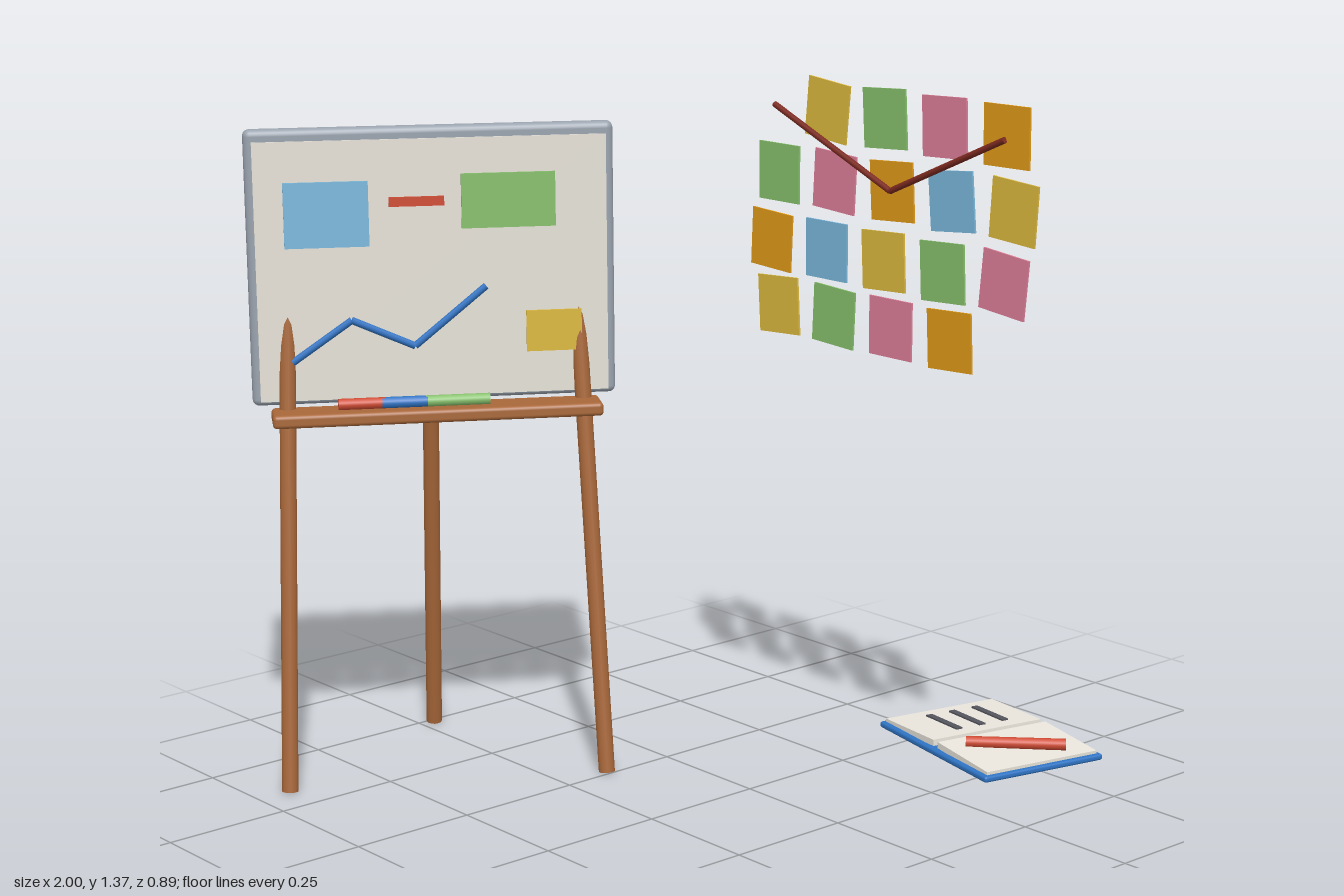
import * as THREE from 'three';
import { RoundedBoxGeometry } from 'three/addons/geometries/RoundedBoxGeometry.js';

const mat = (color) => new THREE.MeshStandardMaterial({ color });
const M = {
  wood: mat(0xa9683a), grey: mat(0x9aa3ae), panel: mat(0xe6e2d8), blue: mat(0x7ab8dc),
  green: mat(0x86c06c), yellow: mat(0xdcb93e), pink: mat(0xdf7f98), orange: mat(0xe09a18),
  red: mat(0xcf4a32), ink: mat(0x2f74c4), string: mat(0x7d2a20), text: mat(0x55565e), paper: mat(0xeae6dc),
};

function add(parent, name, geometry, material, x = 0, y = 0, z = 0) {
  const mesh = new THREE.Mesh(geometry, material);
  mesh.name = name;
  mesh.position.set(x, y, z);
  parent.add(mesh);
  return mesh;
}

const box = (parent, name, material, [w, h, d], [x, y, z]) =>
  add(parent, name, new THREE.BoxGeometry(w, h, d), material, x, y, z);

const rounded = (parent, name, material, [w, h, d], r, [x, y, z]) =>
  add(parent, name, new RoundedBoxGeometry(w, h, d, 3, r), material, x, y, z);

// Cylinder running between two points
function rod(parent, name, material, a, b, r, sides = 14) {
  const p = new THREE.Vector3(...a), q = new THREE.Vector3(...b);
  const dir = q.clone().sub(p);
  const mesh = add(parent, name, new THREE.CylinderGeometry(r, r, dir.length(), sides), material);
  mesh.position.copy(p).add(q).multiplyScalar(0.5);
  mesh.quaternion.setFromUnitVectors(new THREE.Vector3(0, 1, 0), dir.normalize());
  return mesh;
}

function polyline(parent, name, material, points, r) {
  for (let i = 0; i < points.length - 1; i++) rod(parent, name, material, points[i], points[i + 1], r, 8);
}

function createEasel() {
  const easel = new THREE.Group();
  easel.name = 'easel';

  // Legs: the front pair leans back through the board, the third props it
  for (const s of [-1, 1])
    rod(easel, 'frontLeg', M.wood, [s * 0.311, 0.002, 0.105], [s * 0.268, 1.22, -0.03], 0.016);
  rod(easel, 'backLeg', M.wood, [0.003, 0.004, -0.265], [0, 1.235, -0.034], 0.016);

  // Board
  rounded(easel, 'boardFrame', M.grey, [0.7, 0.53, 0.032], 0.013, [0, 1.015, 0]);
  box(easel, 'boardPanel', M.panel, [0.67, 0.498, 0.012], [0, 1.008, 0.013]);

  // Cards on the board
  const cards = [
    ['blue', -0.2, 1.117, 0.16, 0.125], ['red', -0.029, 1.138, 0.105, 0.018],
    ['green', 0.146, 1.136, 0.18, 0.105], ['yellow', 0.23, 0.88, 0.107, 0.08],
  ];
  for (const [c, x, y, w, h] of cards) box(easel, 'boardCard', M[c], [w, h, 0.006], [x, y, 0.021]);

  // Chart line
  polyline(easel, 'chartLine', M.ink, [
    [-0.272, 0.835, 0.022], [-0.158, 0.913, 0.022], [-0.0385, 0.859, 0.022], [0.1, 0.971, 0.022],
  ], 0.007);

  // Tray with markers
  rounded(easel, 'tray', M.wood, [0.632, 0.026, 0.08], 0.008, [0, 0.733, 0.047]);
  const markers = [['red', -0.19, -0.1], ['ink', -0.107, -0.02], ['green', -0.023, 0.1]];
  for (const [c, a, b] of markers) rod(easel, 'marker', M[c], [a, 0.756, 0.05], [b, 0.756, 0.05], 0.011);

  easel.position.set(-0.76, 0, 0.11);
  easel.rotation.y = 1.03;
  return easel;
}

function createNoteWall() {
  const wall = new THREE.Group();
  wall.name = 'noteWall';

  // Each row: height, first x, then colour and tilt of every note
  const rows = [
    [1.31, -0.246, [['yellow', -0.1], ['green', 0.06], ['pink', 0.04], ['orange', 0.01]]],
    [1.177, -0.38, [['green', 0], ['pink', -0.06], ['orange', 0.06], ['blue', 0.09], ['yellow', -0.07]]],
    [1.043, -0.401, [['orange', -0.05], ['blue', 0], ['yellow', 0.05], ['green', 0.05], ['pink', -0.1]]],
    [0.918, -0.38, [['yellow', 0.06], ['green', -0.05], ['pink', 0], ['orange', 0.05]]],
  ];
  for (const [y, x0, notes] of rows)
    notes.forEach(([c, tilt], i) => {
      box(wall, 'stickyNote', M[c], [0.112, 0.112, 0.004], [x0 + i * 0.155, y, 0]).rotation.z = tilt;
    });

  // String across the notes
  polyline(wall, 'string', M.string,
    [[-0.388, 1.308, 0.006], [-0.07, 1.178, 0.006], [0.219, 1.304, 0.006]], 0.006);

  wall.position.z = -0.442;
  return wall;
}

function createNotebook() {
  const book = new THREE.Group();
  book.name = 'notebook';
  rounded(book, 'cover', M.ink, [0.302, 0.01, 0.218], 0.004, [0, 0.005, 0]);

  // Pages slope down from the spine to the outer edges
  for (const s of [-1, 1]) {
    const page = new THREE.Group();
    page.name = 'pageHalf';
    page.position.set(s * 0.075, 0.013, 0);
    page.rotation.z = -s * 0.045;
    box(page, 'pages', M.paper, [0.138, 0.01, 0.202], [0, 0, 0]);
    if (s < 0)
      for (const z of [-0.05, -0.007, 0.036])
        box(page, 'writingLine', M.text, [0.088, 0.003, 0.011], [0, 0.006, z]);
    book.add(page);
  }

  // Pen
  rod(book, 'pen', M.red, [0.035, 0.025, 0.068], [0.122, 0.025, -0.059], 0.009);

  book.position.set(0.826, 0.482, 0.209);
  book.rotation.y = -0.214;
  return book;
}

export function createModel() {
  const model = new THREE.Group();
  model.name = 'planningCorner';
  model.add(createEasel(), createNoteWall(), createNotebook());
  return model;
}
